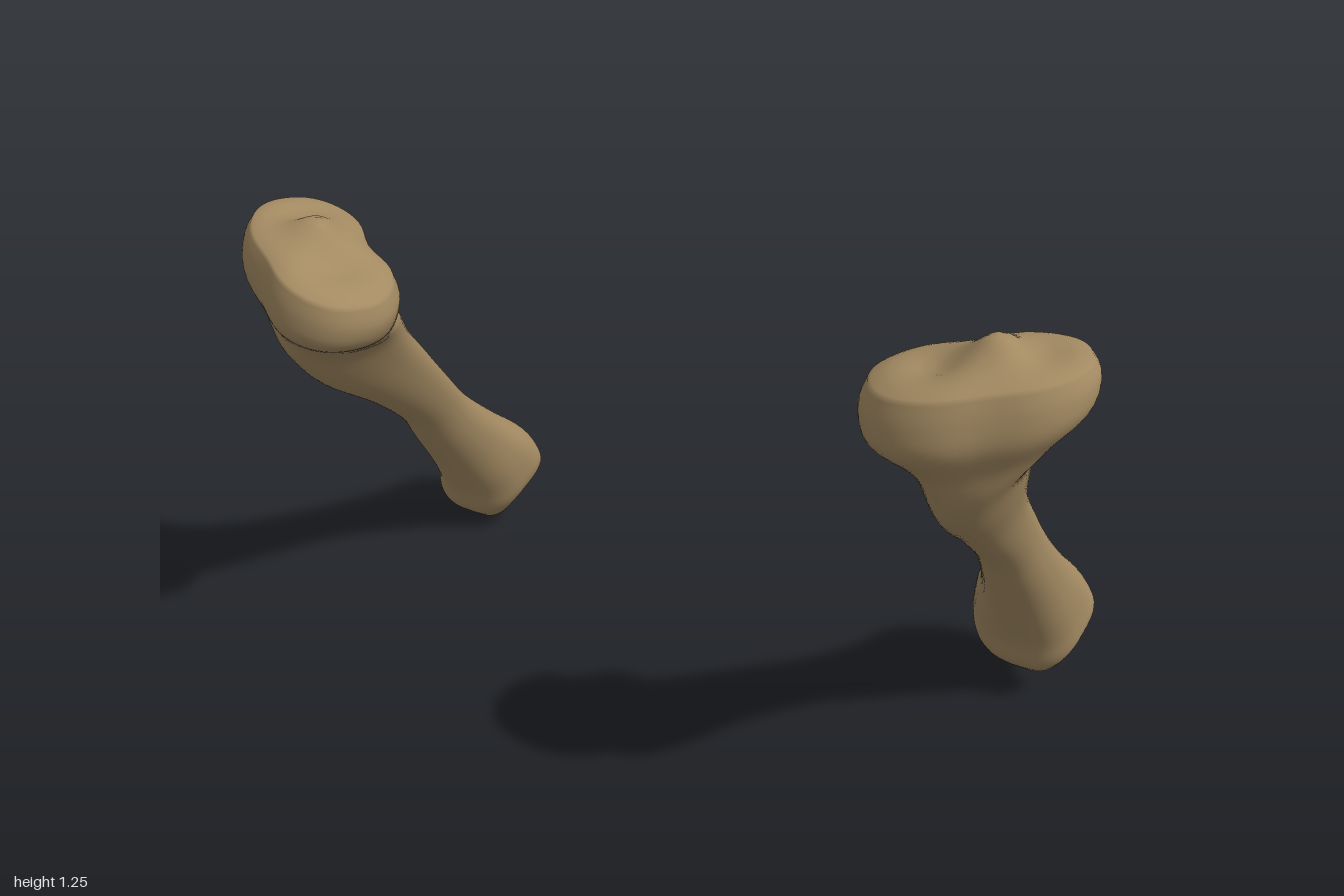
import * as THREE from 'three';

// Cross-sections from ankle to knee:
// x, y, z, half width, half depth, tilt, roll, front taper, waist, outer rise, roundness
const SECTIONS = [
  [0.71, 0.165, -0.395, 0.122, 0.112, 50, 0, 0.22, 0, 0, 0.68],
  [0.71, 0.205, -0.365, 0.138, 0.12, 50, 0, 0.18, 0, 0, 0.72],
  [0.712, 0.27, -0.335, 0.128, 0.113, 50, 0, 0.1, 0, 0, 0.8],
  [0.725, 0.37, -0.25, 0.1, 0.095, 50, 0, 0.1, 0, 0, 0.88],
  [0.735, 0.49, -0.145, 0.081, 0.079, 50, 0, 0.1, 0, 0, 0.9],
  [0.735, 0.6, -0.055, 0.074, 0.073, 48, 0, 0.12, 0, 0, 0.9],
  [0.737, 0.73, 0.075, 0.077, 0.087, 35, 0, 0.22, 0, 0, 0.9],
  [0.753, 0.855, 0.205, 0.096, 0.117, 24, 5, 0.3, 0, 0, 0.9],
  [0.77, 0.96, 0.272, 0.12, 0.134, 22, 15, 0.28, 0.03, 0.05, 0.9],
  [0.785, 1.03, 0.3, 0.165, 0.135, 18, 25, 0.12, 0.1, 0.12, 0.9],
  [0.79, 1.085, 0.318, 0.21, 0.153, 11, 28, 0, 0.16, 0.15, 0.88],
  [0.79, 1.135, 0.32, 0.219, 0.152, 7, 28, 0, 0.17, 0.16, 0.88],
  [0.79, 1.175, 0.322, 0.203, 0.137, 3, 28, 0, 0.15, 0.16, 0.88],
];
const SEGMENTS = 64, STEPS = 5;
const rad = THREE.MathUtils.degToRad;

// Smooth interpolation of all section values
function sectionAt(t) {
  const last = SECTIONS.length - 1;
  const i = Math.min(Math.floor(t), last - 1), f = t - i;
  const get = (k) => SECTIONS[Math.max(0, Math.min(last, k))];
  return SECTIONS[i].map((p1, c) => {
    const p0 = get(i - 1)[c], p2 = get(i + 1)[c], p3 = get(i + 2)[c];
    return 0.5 * (2 * p1 + (p2 - p0) * f + (2 * p0 - 5 * p1 + 4 * p2 - p3) * f * f
      + (3 * p1 - p0 - 3 * p2 + p3) * f * f * f);
  });
}

// Point on a section: s shrinks the outline, axial(u, v) moves it along the bone
function sectionPoint(sec, s, angle, axial) {
  const [x, y, z, a, b, tilt, roll, taper, waist, rise, power] = sec;
  const round = (n) => Math.sign(n) * Math.pow(Math.abs(n), power);
  const u = round(Math.cos(angle)) * s, v = round(Math.sin(angle)) * s;
  const pu = u * a * (1 - taper * v);
  const pv = v * b * (1 - waist * Math.exp(-u * u / 0.1) * (v < 0 ? 1.3 : 0.5));
  const r = rad(roll), t = rad(tilt);
  const across = pu * Math.cos(r) + pv * Math.sin(r);
  const front = pv * Math.cos(r) - pu * Math.sin(r);
  const n = axial(u, v);
  return [
    x + across,
    y - front * Math.sin(t) + n * Math.cos(t) + across * rise,
    z + front * Math.cos(t) + n * Math.sin(t),
  ];
}

// Scalloped ankle rim: raised at the sides, longer at front and back
const rim = (u, v) => 0.016 * u * u - (v > 0 ? 0.032 : 0.018) * v * v;
// Ankle socket: a thick rounded lip, then a hollow with a low ridge
const LIP = 0.75;
const socket = (s) => (u, v) => {
  const lip = 0.01 + 0.055 * v * v;
  const depth = 0.035 - 0.015 * Math.exp(-u * u / 0.05);
  if (s >= LIP) return rim(u, v) - lip * (1 - ((s - LIP) / (1 - LIP)) ** 2);
  return rim(u, v) + THREE.MathUtils.lerp(depth, -lip, THREE.MathUtils.smoothstep(s, 0.15, LIP));
};
// Knee plateau: rounded edge, two shallow dishes and a raised middle
const plateau = (s) => (u, v) => 0.026 * (1 - s ** 4)
  + (1 - s * s) * (0.042 * Math.exp(-((u - 0.18) ** 2 + v * v * 0.4) / 0.09)
  - 0.024 * Math.exp(-((Math.abs(u - 0.05) - 0.5) ** 2) / 0.06 - v * v / 0.3));

function boneGeometry(place, mirrored) {
  const rings = [];
  const first = sectionAt(0), end = sectionAt(SECTIONS.length - 1);
  for (const s of [0.001, 0.12, 0.24, 0.36, 0.48, 0.6, 0.68, 0.75, 0.82, 0.88, 0.93, 0.97]) {
    rings.push([first, s, socket(s)]);
  }
  const count = (SECTIONS.length - 1) * STEPS;
  for (let i = 0; i <= count; i++) {
    const t = i / STEPS, fade = Math.max(0, 1 - t / 1.6) ** 1.5;
    rings.push([sectionAt(t), 1, (u, v) => rim(u, v) * fade]);
  }
  for (const s of [0.97, 0.93, 0.87, 0.8, 0.68, 0.55, 0.42, 0.3, 0.18, 0.08, 0.001]) {
    rings.push([end, s, plateau(s)]);
  }

  const positions = [], index = [];
  rings.forEach(([sec, s, axial], i) => {
    for (let j = 0; j < SEGMENTS; j++) {
      positions.push(...place(...sectionPoint(sec, s, (j / SEGMENTS) * Math.PI * 2, axial)));
      if (i === rings.length - 1) continue;
      const a = i * SEGMENTS + j, c = i * SEGMENTS + (j + 1) % SEGMENTS;
      const b = a + SEGMENTS, d = c + SEGMENTS;
      if (mirrored) index.push(a, c, b, c, d, b);
      else index.push(a, b, c, c, b, d);
    }
  });
  const geometry = new THREE.BufferGeometry();
  geometry.setAttribute('position', new THREE.Float32BufferAttribute(positions, 3));
  geometry.setIndex(index);
  geometry.computeVertexNormals();
  return geometry;
}

export function createModel() {
  const group = new THREE.Group();
  group.name = 'shinBones';
  const bone = new THREE.MeshStandardMaterial({ color: 0xa38a62 });
  bone.name = 'bone';

  const left = new THREE.Mesh(boneGeometry((x, y, z) => [x, y, z], false), bone);
  left.name = 'leftShinBone';

  // Mirrored bone: leans outward at the ankle, stands lower, and its plateau slopes more
  const lean = (x, y, z) => [
    -(x + 0.19 - 0.205 * y),
    y * 0.97 - 0.05 + 0.15 * (x - 0.85) * THREE.MathUtils.smoothstep(y, 0.8, 1.1),
    z + 0.02 * (y - 0.6),
  ];
  const right = new THREE.Mesh(boneGeometry(lean, true), bone);
  right.name = 'rightShinBone';

  group.add(left, right);
  const box = new THREE.Box3().setFromObject(group);
  left.position.y = right.position.y = -box.min.y;
  return group;
}
